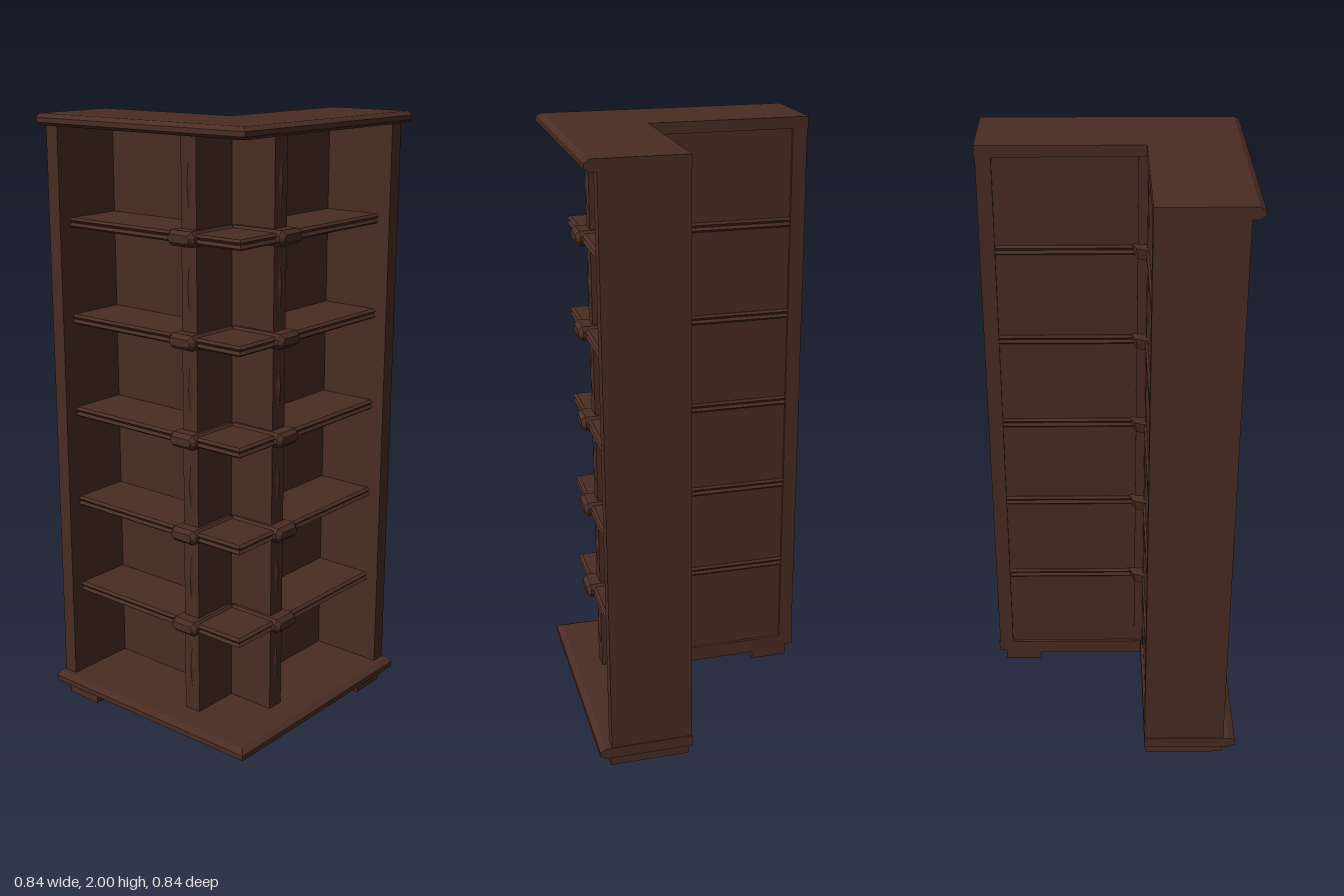
import * as THREE from 'three';

const wood = new THREE.MeshStandardMaterial({ color: 0x4a2c23 });
wood.name = 'darkWood';

export function createModel() {
  const model = new THREE.Group();
  model.name = 'cornerBookcase';

  const add = (name, geometry) => {
    const mesh = new THREE.Mesh(geometry, wood);
    mesh.name = name;
    model.add(mesh);
    return mesh;
  };

  const box = (name, x0, x1, y0, y1, z0, z1) => {
    const mesh = add(name, new THREE.BoxGeometry(x1 - x0, y1 - y0, z1 - z0));
    mesh.position.set((x0 + x1) / 2, (y0 + y1) / 2, (z0 + z1) / 2);
  };

  // A box in the front wing and its twin in the side wing
  const boxPair = (name, x0, x1, y0, y1, z0, z1) => {
    box(name + 'Front', x0, x1, y0, y1, z0, z1);
    box(name + 'Side', -z1, -z0, y0, y1, -x1, -x0);
  };

  // A symmetric part facing +z in the front wing and its twin facing -x
  const facingPair = (name, geometry, x, y, z) => {
    add(name + 'Front', geometry).position.set(x, y, z);
    const twin = add(name + 'Side', geometry);
    twin.position.set(-z, y, -x);
    twin.rotation.y = -Math.PI / 2;
  };

  // L-shaped slab lofted through levels of [y, outer reach, inner corner], with wing length e
  const slab = (name, e, levels) => {
    const rings = levels.map(([y, o, i]) =>
      [[-o, o], [e, o], [e, i], [-i, i], [-i, -e], [-o, -e]].map(([x, z]) => [x, y, z]));
    const p = [];
    const tri = (...pts) => pts.forEach((v) => p.push(...v));
    for (let k = 0; k + 1 < rings.length; k++) {
      for (let j = 0; j < 6; j++) {
        const n = (j + 1) % 6;
        tri(rings[k][j], rings[k][n], rings[k + 1][n]);
        tri(rings[k][j], rings[k + 1][n], rings[k + 1][j]);
      }
    }
    const bottom = rings[0], top = rings[rings.length - 1];
    for (let j = 1; j < 5; j++) {
      tri(top[0], top[j], top[j + 1]);
      tri(bottom[0], bottom[j + 1], bottom[j]);
    }
    const g = new THREE.BufferGeometry();
    g.setAttribute('position', new THREE.Float32BufferAttribute(p, 3));
    g.computeVertexNormals();
    add(name, g);
  };

  // Top and base with moulded outer edges
  slab('topBoard', 0.42, [
    [1.963, 0.4, 0.11], [1.973, 0.418, 0.11], [1.988, 0.418, 0.11], [2, 0.4, 0.11]]);
  slab('baseBoard', 0.42, [
    [0.045, 0.395, 0.11], [0.055, 0.42, 0.11], [0.072, 0.42, 0.11], [0.083, 0.4, 0.11]]);
  slab('plinth', 0.395, [[0.027, 0.38, 0.115], [0.046, 0.38, 0.115]]);
  boxPair('foot', 0.265, 0.395, 0, 0.028, 0.115, 0.38);

  // Upright panels of each wing
  boxPair('endPanel', 0.368, 0.417, 0.08, 1.965, 0.11, 0.38);
  boxPair('backPanel', -0.115, 0.38, 0.08, 1.965, 0.12, 0.135);
  boxPair('divider', -0.145, -0.085, 0.08, 1.965, 0.115, 0.31);

  // Bevelled collar that wraps a divider at each shelf
  const outline = new THREE.Shape([
    [-0.053, -0.008], [-0.04, -0.024], [0.04, -0.024], [0.053, -0.008],
    [0.053, 0.008], [0.04, 0.024], [-0.04, 0.024], [-0.053, 0.008],
  ].map(([x, y]) => new THREE.Vector2(x, y)));
  const collar = new THREE.ExtrudeGeometry(outline, {
    depth: 0.185, bevelEnabled: true, bevelSegments: 1,
    bevelThickness: 0.014, bevelSize: 0.012, bevelOffset: -0.012,
  });
  const knob = new THREE.CylinderGeometry(0.05, 0.038, 0.04, 8).toNonIndexed();
  knob.computeVertexNormals();

  // Low four-sided pyramid used as a carved diamond
  const diamond = new THREE.ConeGeometry(1, 1, 4, 1).toNonIndexed();
  diamond.rotateX(Math.PI / 2);
  diamond.scale(0.015, 0.09, 0.008);
  diamond.computeVertexNormals();

  const spacing = 0.315;
  for (let k = 0; k < 5; k++) {
    const y = 0.396 + k * spacing;
    slab('shelf' + (k + 1), 0.375, [
      [y - 0.016, 0.328, 0.118], [y - 0.009, 0.338, 0.111], [y, 0.33, 0.118],
      [y + 0.009, 0.338, 0.111], [y + 0.016, 0.328, 0.118]]);
    facingPair('collar', collar, -0.115, y, 0.16);
    add('cornerKnob', knob).position.set(-0.115, y, 0.115);
  }
  for (let k = 0; k < 6; k++) {
    facingPair('diamond', diamond, -0.115, 0.238 + k * spacing, 0.313);
  }
  return model;
}
